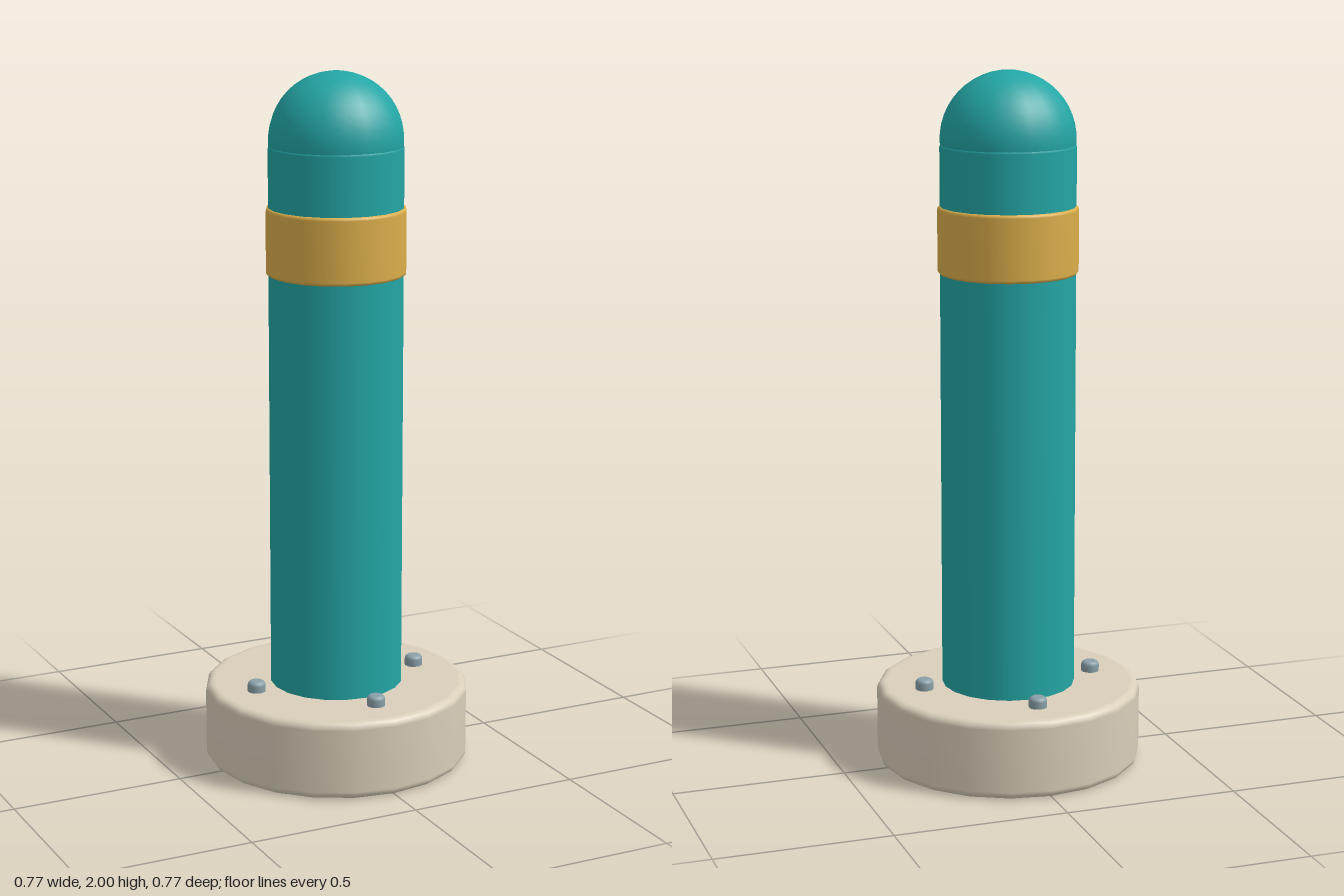
import * as THREE from 'three';

const material = (name, color) => {
  const m = new THREE.MeshStandardMaterial({ color });
  m.name = name;
  return m;
};

// Solid disc or post with rounded rims, standing from y0 to y1
function roundedCylinder(radius, y0, y1, bevel, sides, steps = 4) {
  const inner = radius - bevel;
  const points = [new THREE.Vector2(0, y0), new THREE.Vector2(inner * 0.99, y0)];
  for (const [cy, start] of [[y0 + bevel, -Math.PI / 2], [y1 - bevel, 0]]) {
    for (let i = 0; i <= steps; i++) {
      const a = start + (i / steps) * (Math.PI / 2);
      points.push(new THREE.Vector2(inner + bevel * Math.cos(a), cy + bevel * Math.sin(a)));
    }
  }
  points.push(new THREE.Vector2(inner * 0.99, y1), new THREE.Vector2(0, y1));
  return new THREE.LatheGeometry(points, sides);
}

export function createModel() {
  const teal = material('teal paint', 0x23a6a5);
  const gold = material('gold band', 0xdcae4b);
  const stone = material('pale stone', 0xd9cfba);
  const steel = material('steel', 0x8a9fa8);

  const model = new THREE.Group();
  model.name = 'bollard';
  const add = (name, geometry, mat) => {
    const mesh = new THREE.Mesh(geometry, mat);
    mesh.name = name;
    model.add(mesh);
    return mesh;
  };

  add('base', roundedCylinder(0.383, 0, 0.228, 0.022, 20), stone);
  add('post', roundedCylinder(0.192, 0.2, 1.795, 0.008, 20, 2), teal);
  add('band', roundedCylinder(0.199, 1.43, 1.622, 0.01, 20, 3), gold);

  // Domed cap, its lower rim sunk into the post
  const cap = add('cap', new THREE.SphereGeometry(0.191, 20, 14, 0, Math.PI * 2, 0, Math.PI * 0.6), teal);
  cap.position.y = 1.809;

  // Four anchor bolts around the post
  const boltGeometry = roundedCylinder(0.026, 0.215, 0.259, 0.012, 16);
  for (let i = 0; i < 4; i++) {
    const a = (i * Math.PI) / 2;
    const bolt = add('bolt', boltGeometry, steel);
    bolt.position.set(0.256 * Math.cos(a), 0, 0.256 * Math.sin(a));
  }

  return model;
}
